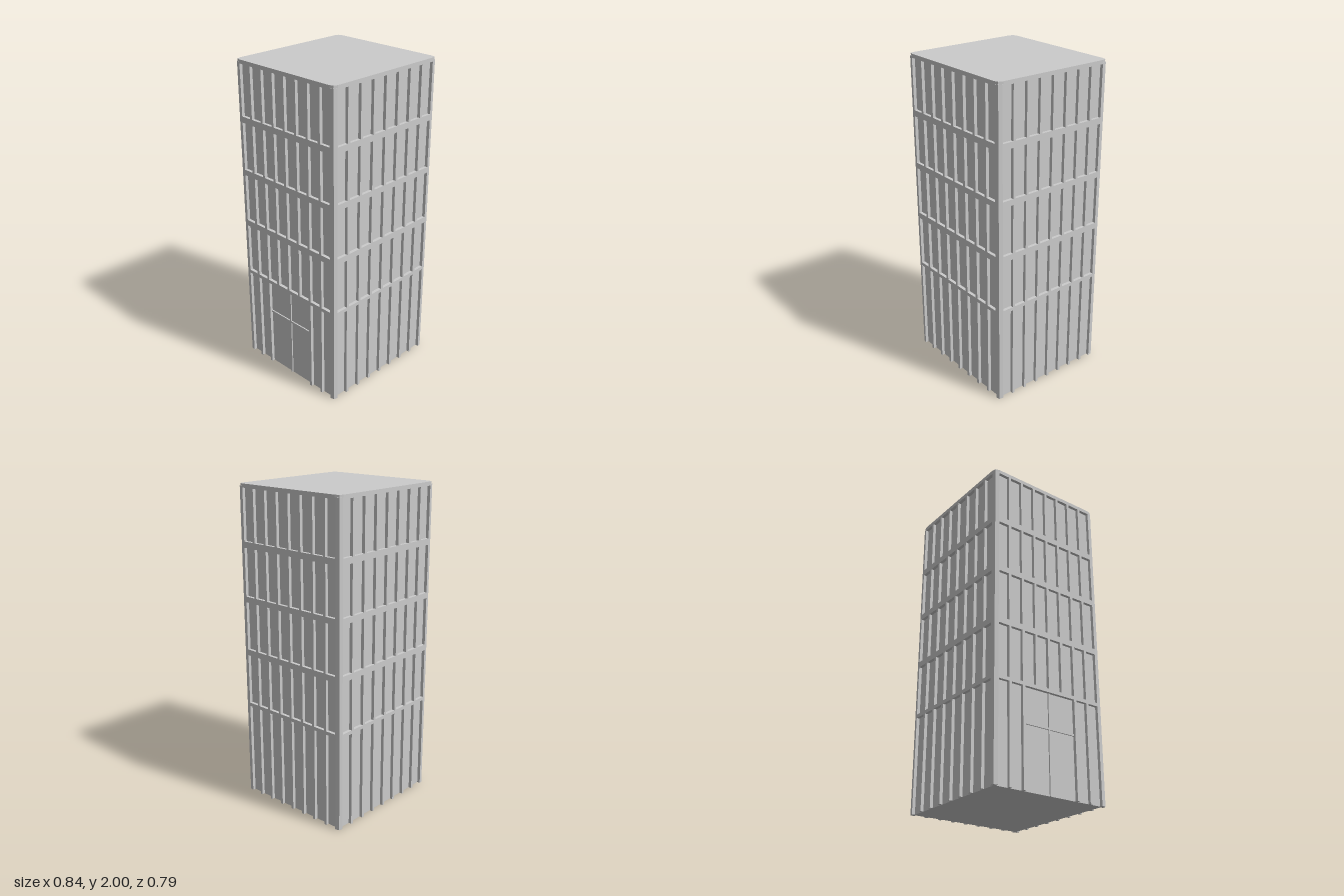
import * as THREE from 'three';

const HX = 0.421, HZ = 0.397;   // half width and half depth
const RECESS = 0.02;            // how far the glass sits behind the facade
const EAVES = 1.985, HEIGHT = 2;
const BAYS = 8, GROUND_TOP = 0.6;
const FLOORS = [[0.622, 0.942], [0.979, 1.283], [1.319, 1.62], [1.658, 1.976]];

const material = new THREE.MeshStandardMaterial({ color: 0xcccccc, flatShading: true });

function addMesh(parent, name, geometry) {
  const mesh = new THREE.Mesh(geometry, material);
  mesh.name = name;
  parent.add(mesh);
  return mesh;
}

const polygon = pts => new THREE.Shape(pts.map(([x, y]) => new THREE.Vector2(x, y)));

// Extrude a plan outline (x, -z) upwards from y0 to y1
function extrudePlan(pts, y0, y1) {
  const geo = new THREE.ExtrudeGeometry(polygon(pts), { depth: y1 - y0, bevelEnabled: false });
  return geo.rotateX(-Math.PI / 2).translate(0, y0, 0);
}

// Facade sheet: window holes on upper floors, bays open to the ground below
function facadeGeometry(half, pitch, pier, doorway) {
  const limit = half - 0.003;
  const bays = Array.from({ length: BAYS }, (_, i) => {
    const left = (i - BAYS / 2) * pitch + pier / 2;
    return [Math.max(left, -limit), Math.min(left + pitch - pier, limit)];
  });
  const ground = doorway
    ? [bays[0], bays[1], [bays[2][0], bays[5][1]], bays[6], bays[7]]
    : bays;
  const outline = [[-half, 0]];
  for (const [a, b] of ground) outline.push([a, 0], [a, GROUND_TOP], [b, GROUND_TOP], [b, 0]);
  outline.push([half, 0], [half, EAVES], [-half, EAVES]);
  const shape = polygon(outline);
  for (const [y0, y1] of FLOORS)
    for (const [a, b] of bays)
      shape.holes.push(polygon([[a, y0], [a, y1], [b, y1], [b, y0]]));
  return new THREE.ExtrudeGeometry(shape, { depth: RECESS, bevelEnabled: false });
}

export function createModel() {
  const model = new THREE.Group();
  model.name = 'officeTower';

  // Recessed glass core
  const core = new THREE.BoxGeometry(2 * (HX - RECESS), EAVES, 2 * (HZ - RECESS));
  addMesh(model, 'glassCore', core.translate(0, EAVES / 2, 0));

  // Four facades; the one on -x holds the entrance
  const sides = [
    { name: 'front', turn: 0, out: HZ, half: HX - 0.028, pitch: 0.101, pier: 0.018 },
    { name: 'left', turn: Math.PI / 2, out: HX, half: HZ - 0.03, pitch: 0.0945, pier: 0.017 },
    { name: 'back', turn: Math.PI, out: HZ, half: HX - 0.028, pitch: 0.101, pier: 0.018 },
    { name: 'right', turn: -Math.PI / 2, out: HX, half: HZ - 0.03, pitch: 0.0945, pier: 0.017, door: true },
  ];
  for (const s of sides) {
    const side = new THREE.Group();
    side.name = s.name + 'Side';
    side.rotation.y = s.turn;
    model.add(side);
    addMesh(side, s.name + 'Facade', facadeGeometry(s.half, s.pitch, s.pier, s.door))
      .position.z = s.out - RECESS;

    // Entrance: double door with a transom bar and centre mullion
    if (s.door) {
      const z = s.out - RECESS + 0.003;
      const width = 4 * s.pitch - s.pier;
      addMesh(side, 'doorMullion', new THREE.BoxGeometry(0.01, GROUND_TOP, 0.01))
        .position.set(0, GROUND_TOP / 2, z);
      addMesh(side, 'doorTransom', new THREE.BoxGeometry(width, 0.012, 0.01))
        .position.set(0, 0.385, z);
    }
  }

  // Softly faceted corner posts
  for (const sx of [1, -1])
    for (const sz of [1, -1]) {
      const pts = [[HX - 0.028, HZ - 0.03], [HX, HZ - 0.03], [HX - 0.005, HZ - 0.005], [HX - 0.028, HZ]];
      addMesh(model, 'cornerPost', extrudePlan(pts.map(([x, z]) => [sx * x, sz * z]), 0, EAVES));
    }

  // Flat roof slab with slightly rounder corners
  const corner = [[HX, HZ - 0.035], [HX - 0.008, HZ - 0.008], [HX - 0.032, HZ]];
  const roof = [];
  for (const [sx, sz] of [[1, 1], [-1, 1], [-1, -1], [1, -1]]) {
    const pts = corner.map(([x, z]) => [sx * x, sz * z]);
    roof.push(...(sx * sz > 0 ? pts : pts.reverse()));
  }
  addMesh(model, 'roofSlab', extrudePlan(roof, EAVES, HEIGHT));

  return model;
}
